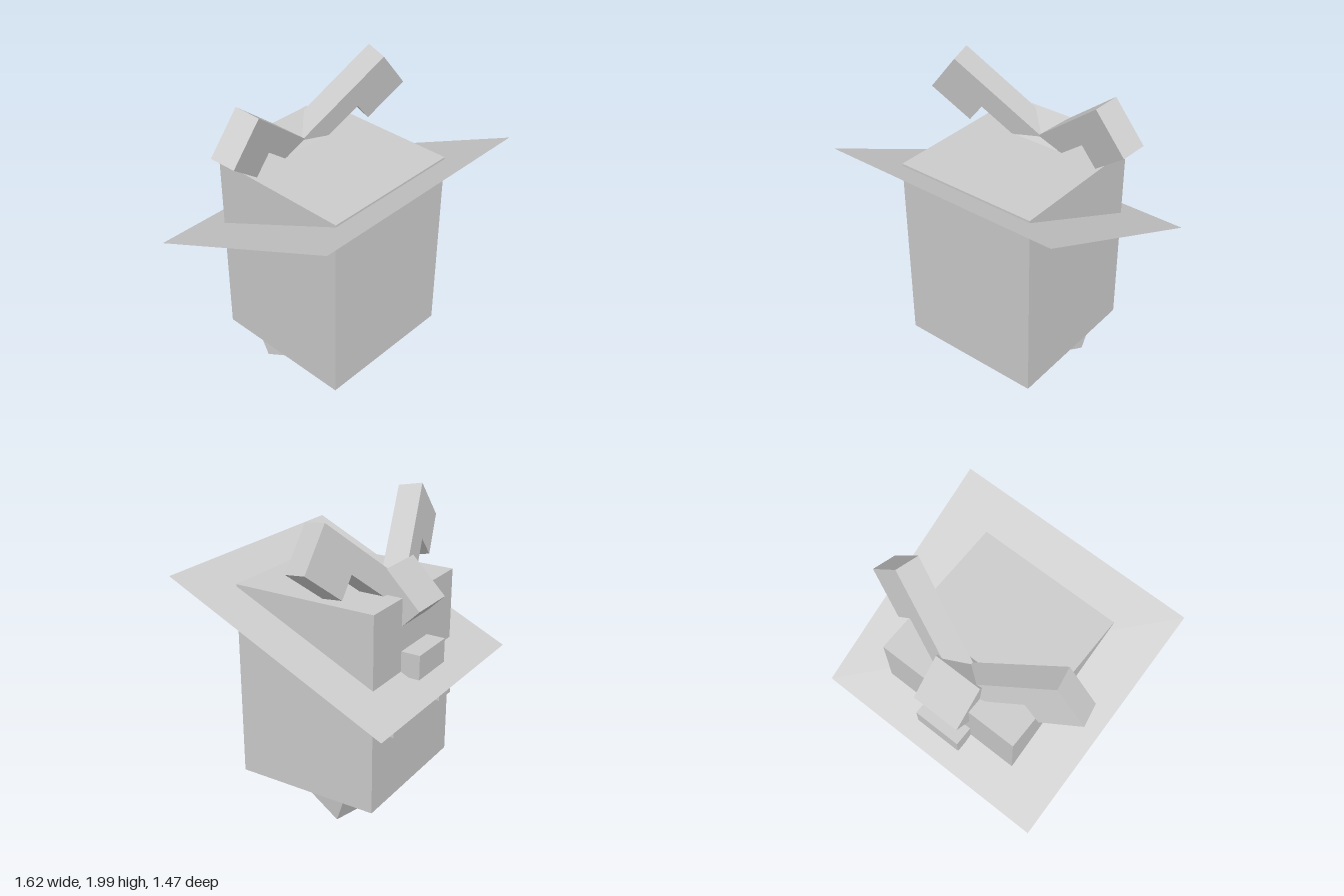
import * as THREE from 'three';

const material = new THREE.MeshStandardMaterial({ color: 0xcccccc, flatShading: true });

export function createModel() {
  const model = new THREE.Group();

  function add(name, geometry, position, rotation = [0, 0, 0], order = 'XYZ', mat = material) {
    const mesh = new THREE.Mesh(geometry, mat);
    mesh.name = name;
    mesh.position.set(...position);
    mesh.rotation.set(...rotation, order);
    model.add(mesh);
    return mesh;
  }
  const box = (w, h, d) => new THREE.BoxGeometry(w, h, d);

  // Block body
  add('body', box(0.98, 1.305, 0.98), [0, 0.8375, 0]);

  // Thin tilted sheet through the body, high at the front and low at the back
  const rise = 0.69, run = 1.47;
  const sheetMaterial = material.clone();
  sheetMaterial.side = THREE.DoubleSide;
  add('brim', new THREE.PlaneGeometry(1.625, Math.hypot(rise, run)), [0, 1.245, -0.003],
    [-Math.PI / 2 - Math.atan2(rise, run), 0, 0], 'XYZ', sheetMaterial);

  // Diamond-set cube on the rear top edge, and the snout below it
  add('crest', box(0.325, 0.32, 0.32), [0, 1.425, -0.378], [Math.PI / 4, 0, 0]);
  add('snout', box(0.325, 0.16, 0.14), [0, 1.07, -0.547]);

  for (const s of [1, -1]) {
    const side = s > 0 ? 'left' : 'right';

    // Eye block
    add(side + 'Eye', box(0.16, 0.16, 0.1), [s * 0.295, 0.76, -0.518]);

    // Foot, toed outward and pitched down to the rear
    add(side + 'Foot', box(0.325, 0.165, 0.33), [s * 0.244, 0.14, -0.116],
      [-0.356, s * -0.245, 0], 'YXZ');

    // L-shaped antler, measured from its outer top front corner
    const outline = [[0, 0], [-0.8, 0], [-0.8, -0.16], [-0.325, -0.16], [-0.325, -0.323], [0, -0.323]];
    const shape = new THREE.Shape(outline.map(([x, y]) => new THREE.Vector2(s * x, y)));
    const geometry = new THREE.ExtrudeGeometry(shape, { depth: 0.16, bevelEnabled: false });
    geometry.translate(0, 0, -0.16);
    add(side + 'Antler', geometry, [s * 0.53, 1.97, -0.06], [0.174, s * -0.201, s * 0.705]);
  }

  return model;
}
